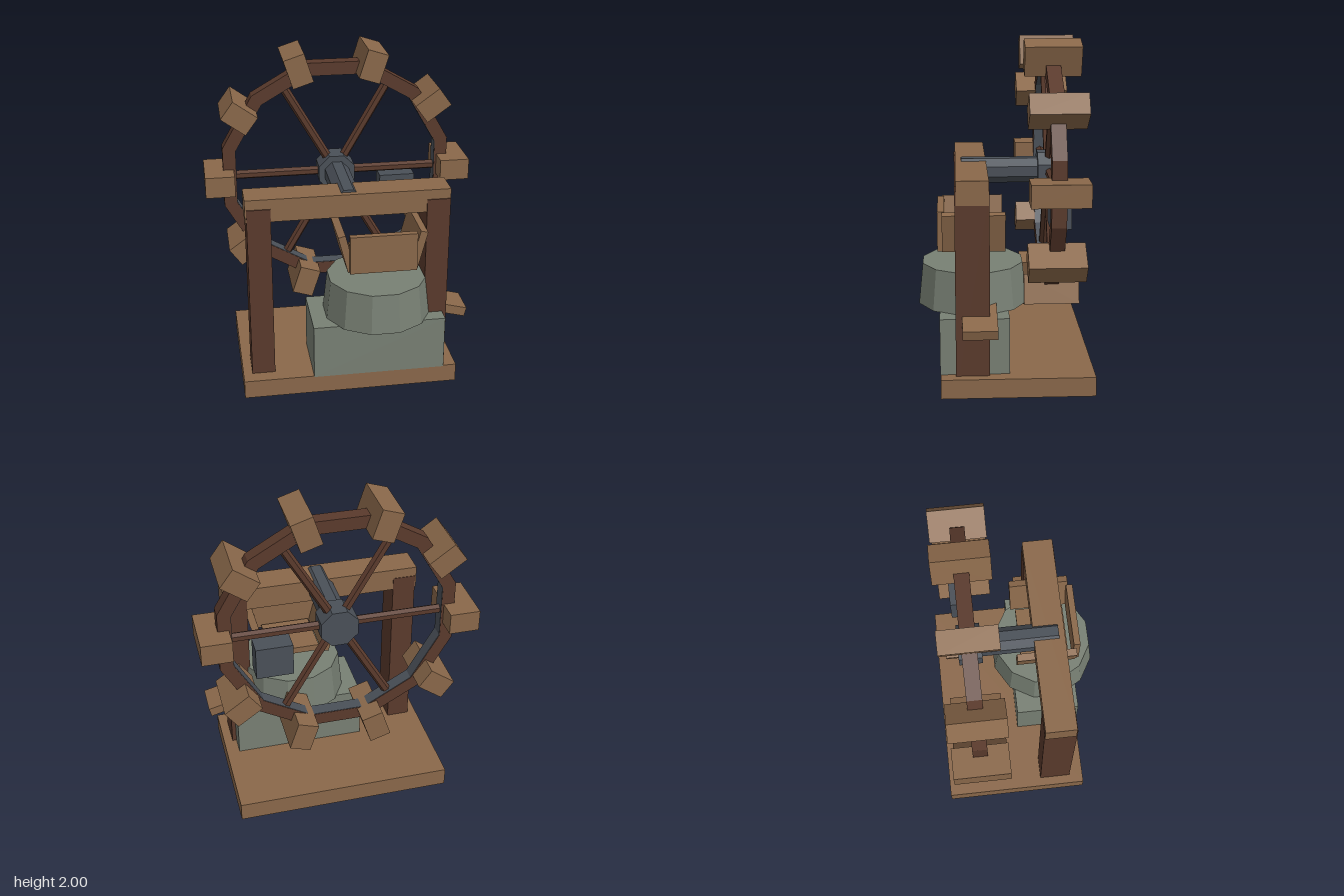
import * as THREE from 'three';

const mat = (name, color) => {
  const m = new THREE.MeshStandardMaterial({ color });
  m.name = name;
  return m;
};

export function createModel() {
  const plank = mat('plankWood', 0x8a684a);
  const dark = mat('darkWood', 0x5a3a2c);
  const iron = mat('iron', 0x4a5058);
  const stone = mat('stone', 0x788074);

  const root = new THREE.Group();
  root.name = 'waterMill';

  const add = (parent, name, geometry, material, x = 0, y = 0, z = 0) => {
    const mesh = new THREE.Mesh(geometry, material);
    mesh.name = name;
    mesh.position.set(x, y, z);
    parent.add(mesh);
    return mesh;
  };
  const box = (parent, name, w, h, d, material, x, y, z) =>
    add(parent, name, new THREE.BoxGeometry(w, h, d), material, x, y, z);
  // Faceted cylinder with a flat side facing the axes
  const prism = (rTop, rBottom, h, sides) =>
    new THREE.CylinderGeometry(rTop, rBottom, h, sides).rotateY(Math.PI / sides).toNonIndexed();
  const faceted = (g) => { g.computeVertexNormals(); return g; };

  // Timber frame
  box(root, 'basePlatform', 1.31, 0.115, 0.89, plank, 0, 0.0575, -0.065);
  for (const s of [-1, 1]) {
    box(root, s < 0 ? 'rightPost' : 'leftPost', 0.14, 1.195, 0.195, dark, s * 0.53, 0.6025, 0.195);
  }
  box(root, 'crossBeam', 1.21, 0.14, 0.185, plank, -0.003, 1.19, 0.193);

  // Grinding stones
  box(root, 'stonePlinth', 0.805, 0.34, 0.4, stone, 0.172, 0.28, 0.183);
  add(root, 'millstone', faceted(prism(0.305, 0.331, 0.245, 12)), stone, 0.183, 0.57, 0.187);

  // Hopper: upright front, flared sides and a floor
  const hopper = new THREE.Group();
  hopper.name = 'hopper';
  root.add(hopper);
  box(hopper, 'hopperFront', 0.4, 0.235, 0.04, plank, 0.187, 0.917, 0.373);
  box(hopper, 'hopperFloor', 0.305, 0.04, 0.3, plank, 0.185, 0.815, 0.18);
  for (const s of [-1, 1]) {
    const side = box(hopper, 'hopperSide', 0.045, 0.235, 0.365, plank, 0.187 + s * 0.216, 0.917, 0.183);
    side.rotation.z = -s * 0.25;
  }

  // Sloping flour chute
  const chute = box(root, 'chute', 0.285, 0.058, 0.2, plank, 0.597, 0.446, 0.155);
  chute.rotation.z = -0.262;

  // Wheel turning on the z axis
  const wheel = new THREE.Group();
  wheel.name = 'wheel';
  wheel.position.set(0, 1.2, -0.28);
  root.add(wheel);

  add(wheel, 'axle', faceted(prism(0.08, 0.08, 0.55, 8).rotateX(Math.PI / 2)), iron, 0, 0, 0.255);
  add(wheel, 'hub', faceted(prism(0.12, 0.12, 0.14, 8).rotateX(Math.PI / 2)), iron);

  // Twelve-sided rim with a thin iron lining
  const ring = (r) => Array.from({ length: 12 }, (_, i) => {
    const a = (i + 0.5) * Math.PI / 6;
    return new THREE.Vector2(Math.cos(a) * r, Math.sin(a) * r);
  });
  const ringGeometry = (outer, inner, depth) => {
    const shape = new THREE.Shape(ring(outer));
    shape.holes.push(new THREE.Path(ring(inner)));
    return new THREE.ExtrudeGeometry(shape, { depth, bevelEnabled: false }).translate(0, 0, -depth / 2);
  };
  add(wheel, 'rim', ringGeometry(0.725, 0.645, 0.085), dark);
  add(wheel, 'rimLining', ringGeometry(0.646, 0.642, 0.08), iron);

  // Spokes
  for (let i = 0; i < 6; i++) {
    const a = i * Math.PI / 3;
    const spoke = add(wheel, 'spoke', faceted(prism(0.028, 0.028, 0.56, 6)), dark,
      Math.cos(a) * 0.36, Math.sin(a) * 0.36, 0);
    spoke.rotation.z = a - Math.PI / 2;
  }

  // Buckets, set slightly ahead of their radius
  for (let i = 0; i < 10; i++) {
    const arm = new THREE.Group();
    arm.name = 'bucketArm';
    arm.rotation.z = i * Math.PI / 5;
    wheel.add(arm);
    box(arm, 'bucket', 0.18, 0.13, 0.328, plank, 0.726, 0.015, 0);
  }

  // Counterweight
  box(wheel, 'counterweight', 0.22, 0.2, 0.12, iron, 0.39, -0.15, -0.032);

  return root;
}
